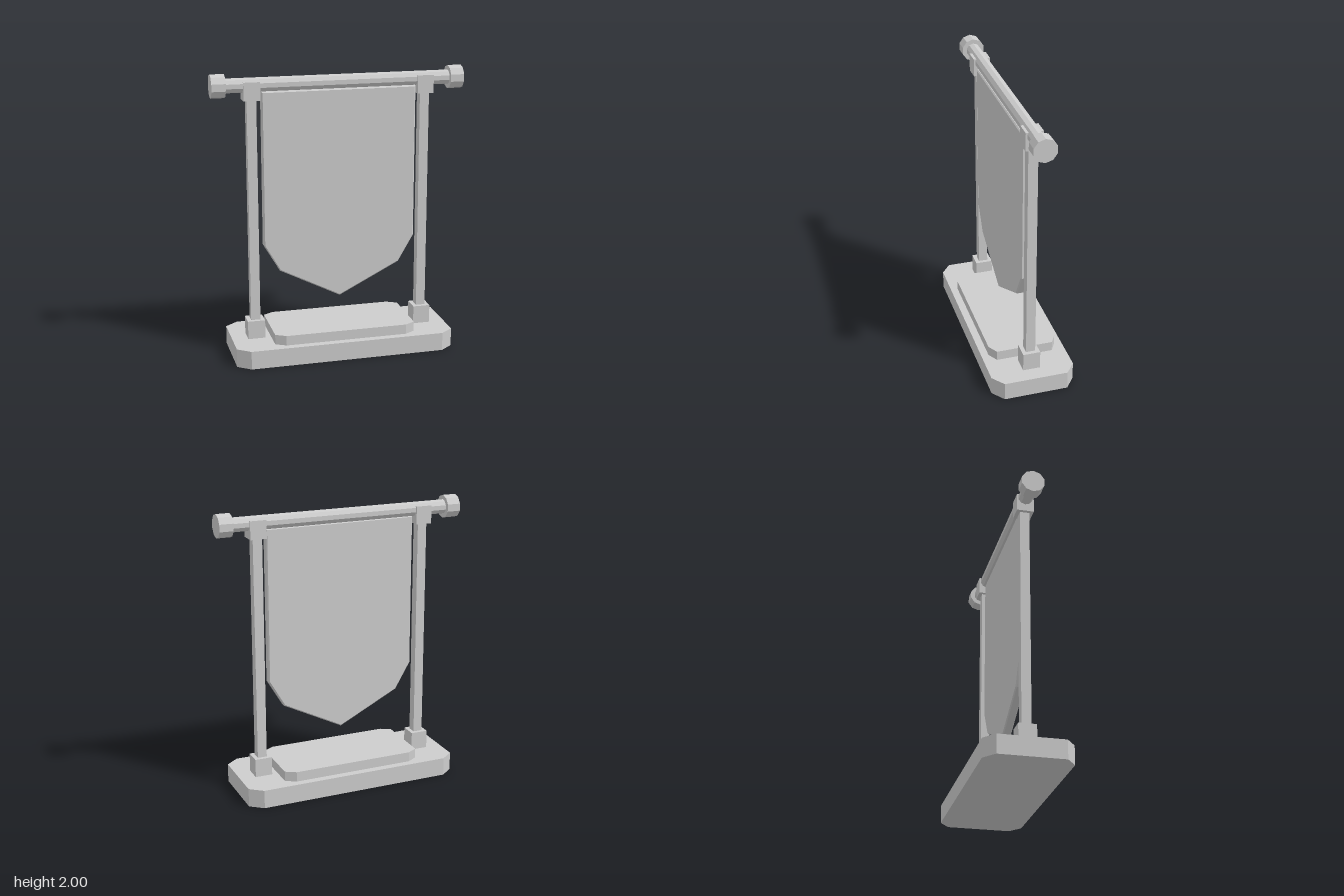
import * as THREE from 'three';

const grey = new THREE.MeshStandardMaterial({ color: 0xcccccc, flatShading: true });
grey.name = 'lightGrey';

function add(parent, name, geometry, x = 0, y = 0, z = 0) {
  const mesh = new THREE.Mesh(geometry, grey);
  mesh.name = name;
  mesh.position.set(x, y, z);
  parent.add(mesh);
  return mesh;
}

// Closed outline from its right half, mirrored across x = 0
function mirroredShape(half) {
  const left = half.filter(([x]) => x > 0).reverse().map(([x, y]) => [-x, y]);
  return new THREE.Shape([...half, ...left].map(([x, y]) => new THREE.Vector2(x, y)));
}

// Flat slab with cut corners, standing on its local y = 0
function slab(hx, hz, cutX, cutZ, height) {
  const shape = mirroredShape([
    [hx - cutX, -hz], [hx, -hz + cutZ], [hx, hz - cutZ], [hx - cutX, hz],
  ]);
  return new THREE.ExtrudeGeometry(shape, { depth: height, bevelEnabled: false })
    .rotateX(-Math.PI / 2);
}

// Ten-sided rod lying along x, with a corner on top
function rod(radius, length) {
  return new THREE.CylinderGeometry(radius, radius, length, 10)
    .rotateY(Math.PI / 2).rotateZ(Math.PI / 2);
}

export function createModel() {
  const model = new THREE.Group();
  model.name = 'bannerStand';

  // Stepped base
  add(model, 'base', slab(0.78, 0.295, 0.09, 0.07, 0.13));
  add(model, 'baseStep', slab(0.505, 0.243, 0.072, 0.042, 0.07), 0, 0.13);

  // Posts with foot blocks, top brackets and crossbar end caps
  for (const side of [1, -1]) {
    const post = new THREE.Group();
    post.name = side > 0 ? 'leftPost' : 'rightPost';
    model.add(post);
    const x = side * 0.608;
    add(post, 'postFoot', new THREE.BoxGeometry(0.122, 0.13, 0.122), x, 0.195);
    add(post, 'postShaft', new THREE.BoxGeometry(0.066, 1.6, 0.066), x, 1.04);
    add(post, 'postBracket', new THREE.BoxGeometry(0.114, 0.126, 0.118), x, 1.882);
    add(model, 'crossbarCap', rod(0.081, 0.096), side * 0.832, 1.919);
  }

  // Crossbar
  add(model, 'crossbar', rod(0.05, 1.6), 0, 1.919);

  // Pointed banner with a narrow bevelled edge
  const bevel = 0.008;
  const cloth = mirroredShape([[0, 0.4], [0.425, 0.615], [0.533, 0.8], [0.533, 1.867]]);
  add(model, 'banner', new THREE.ExtrudeGeometry(cloth, {
    depth: 0.044, bevelEnabled: true, bevelSize: bevel, bevelThickness: bevel, bevelSegments: 1,
  }), 0, 0, -0.009);

  return model;
}
